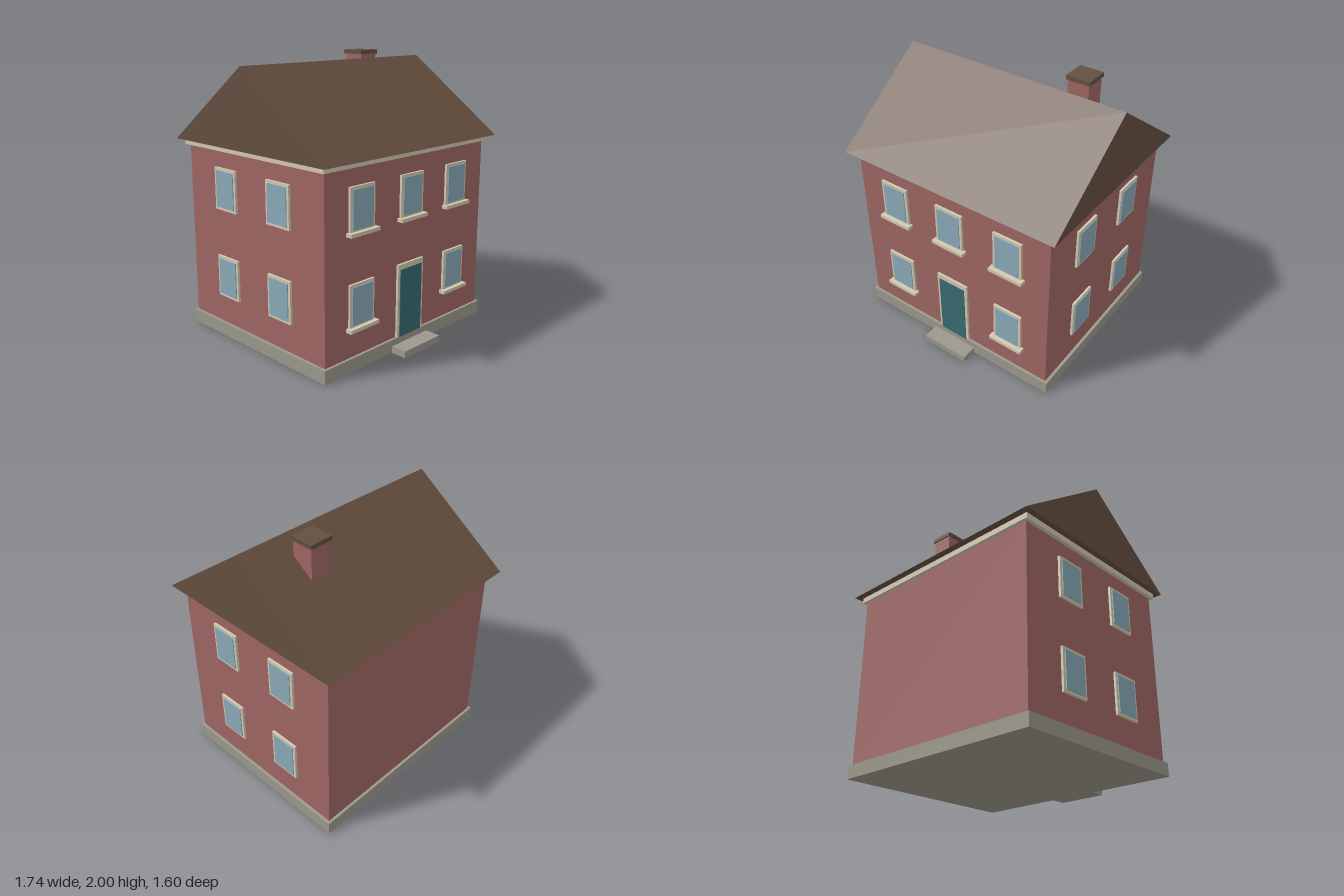
import * as THREE from 'three';

const mat = (name, color) => {
  const m = new THREE.MeshStandardMaterial({ color });
  m.name = name;
  return m;
};

export function createModel() {
  const brick = mat('brick', 0x9f6663);
  const stone = mat('stone', 0x9c988c);
  const trim = mat('cream trim', 0xd2c9b0);
  const roofing = mat('brown roofing', 0x654f40);
  const glass = mat('window glass', 0x8aa9b9);
  const paint = mat('teal door paint', 0x386b70);

  const house = new THREE.Group();
  house.name = 'house';
  const midZ = -0.03, halfW = 0.803, halfD = 0.693;

  // Box given by its size and the centre of its base
  const box = (parent, name, material, w, h, d, x, y, z) => {
    const mesh = new THREE.Mesh(new THREE.BoxGeometry(w, h, d), material);
    mesh.name = name;
    mesh.position.set(x, y + h / 2, z);
    parent.add(mesh);
    return mesh;
  };

  // Main body
  box(house, 'plinth', stone, 1.65, 0.095, 1.426, 0, 0, midZ);
  box(house, 'walls', brick, halfW * 2, 1.265, halfD * 2, 0, 0.095, midZ);
  box(house, 'cornice', trim, 1.66, 0.04, 1.434, 0, 1.36, midZ);
  box(house, 'doorStep', stone, 0.37, 0.048, 0.14, 0, 0, 0.73);

  // Gable roof, a triangle extruded along x
  const gable = new THREE.Shape([
    new THREE.Vector2(-0.765, 0),
    new THREE.Vector2(0.765, 0),
    new THREE.Vector2(0, 0.55),
  ]);
  const roofGeo = new THREE.ExtrudeGeometry(gable, { depth: 1.74, bevelEnabled: false });
  roofGeo.translate(0, 0, -0.87).rotateY(Math.PI / 2);
  const roof = new THREE.Mesh(roofGeo, roofing);
  roof.name = 'roof';
  roof.position.set(0, 1.4, midZ);
  house.add(roof);

  // Chimney
  box(house, 'chimneyStack', brick, 0.16, 0.42, 0.16, 0.447, 1.55, -0.235);
  box(house, 'chimneyCap', roofing, 0.18, 0.03, 0.18, 0.447, 1.97, -0.235);

  // Window with its back on the local z = 0 plane, facing +z
  const addWindow = (name, x, y, z, turn, hasSill) => {
    const win = new THREE.Group();
    win.name = name;
    box(win, 'windowFrame', trim, 0.226, 0.3, 0.017, 0, 0, 0.0085);
    box(win, 'windowPane', glass, 0.186, 0.26, 0.007, 0, 0.02, 0.0195);
    if (hasSill) box(win, 'windowSill', trim, 0.266, 0.025, 0.047, 0, -0.017, 0.0235);
    win.position.set(x, y, z);
    win.rotation.y = turn;
    house.add(win);
  };

  const frontZ = midZ + halfD;
  for (const y of [0.3, 0.94]) {
    // Front windows; the door takes the middle place downstairs
    for (const x of [-0.483, 0, 0.483]) {
      if (x === 0 && y < 0.5) continue;
      addWindow('frontWindow', x, y, frontZ, 0, true);
    }
    // Gable-end windows
    for (const side of [-1, 1]) {
      for (const dz of [-0.275, 0.275]) {
        addWindow('sideWindow', side * halfW, y, midZ + dz, side * Math.PI / 2, false);
      }
    }
  }

  // Front door
  box(house, 'doorFrame', trim, 0.264, 0.525, 0.017, 0, 0.095, frontZ + 0.0085);
  box(house, 'frontDoor', paint, 0.222, 0.488, 0.007, 0, 0.095, frontZ + 0.0195);

  return house;
}
